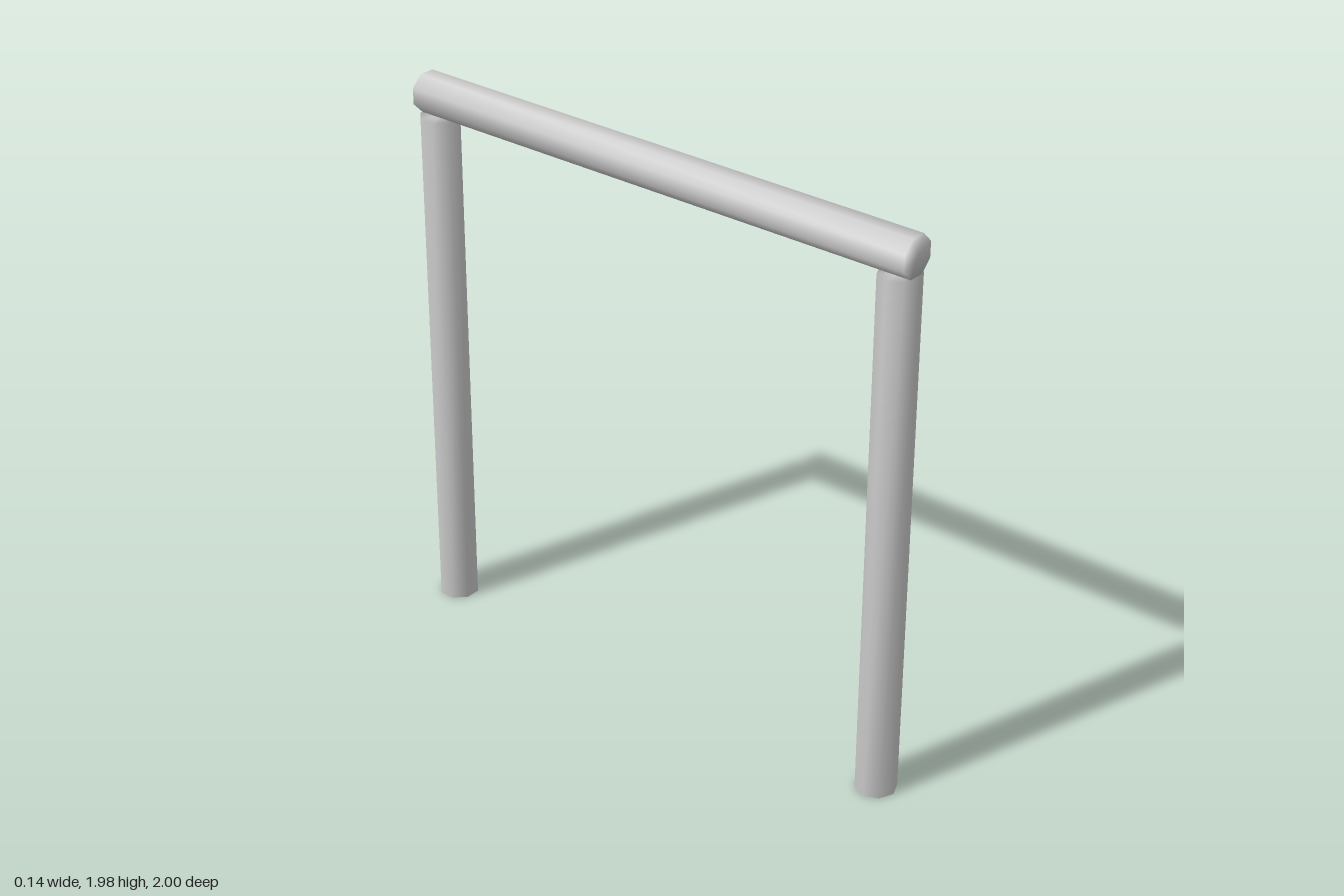
import * as THREE from 'three';
import { mergeVertices } from 'three/addons/utils/BufferGeometryUtils.js';

const SIDES = 8;
const material = new THREE.MeshStandardMaterial({ color: 0xcccccc });

// Eight-sided capped pole along y, with normals blended over the rims
function pole(name, radius, length, turn) {
  let geo = new THREE.CylinderGeometry(radius, radius, length, SIDES, 1);
  geo.deleteAttribute('uv');
  geo.deleteAttribute('normal');
  geo = mergeVertices(geo, 1e-4);
  geo.rotateY(turn);
  geo.computeVertexNormals();
  const mesh = new THREE.Mesh(geo, material);
  mesh.name = name;
  return mesh;
}

export function createModel() {
  const group = new THREE.Group();
  group.name = 'goalFrame';
  const half = Math.PI / SIDES;

  // Upright posts: a corner faces forward on the front one, a flat faces back on the rear one
  const frontPost = pole('frontPost', 0.07, 1.845, 0);
  frontPost.position.set(0, 0.9225, 0.93);
  const backPost = pole('backPost', 0.071, 1.84, half);
  backPost.position.set(0, 0.92, -0.932);

  // Crossbar resting on the posts, flat side up
  const crossbar = pole('crossbar', 0.0715, 1.975, half);
  crossbar.rotation.x = Math.PI / 2;
  crossbar.position.set(0, 1.913, 0);

  group.add(frontPost, backPost, crossbar);
  return group;
}
